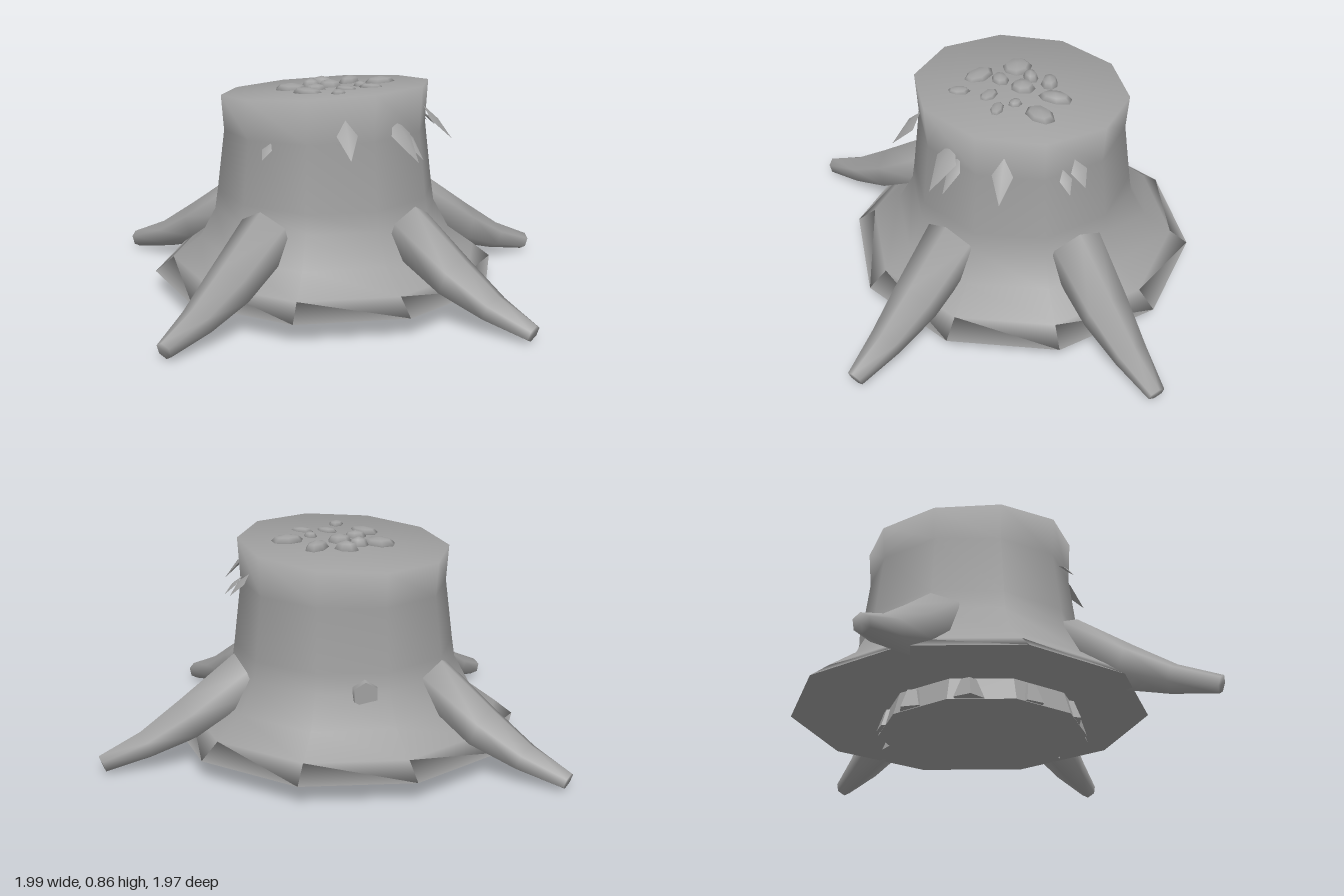
import * as THREE from 'three';
import { mergeVertices } from 'three/addons/utils/BufferGeometryUtils.js';

const bark = new THREE.MeshStandardMaterial({ color: 0xa0a0a0, side: THREE.DoubleSide });
bark.name = 'greyBark';

const add = (parent, name, geometry) => {
  const mesh = new THREE.Mesh(geometry, bark);
  mesh.name = name;
  parent.add(mesh);
  return mesh;
};

// Weld all corners and average the normals
const smooth = (g) => {
  g.deleteAttribute('normal');
  g.deleteAttribute('uv');
  const m = mergeVertices(g, 1e-4);
  m.computeVertexNormals();
  return m;
};

// Move every vertex by a rule
const deform = (g, rule) => {
  const p = g.attributes.position, v = new THREE.Vector3();
  for (let i = 0; i < p.count; i++) {
    v.fromBufferAttribute(p, i);
    rule(v);
    p.setXYZ(i, v.x, v.y, v.z);
  }
  return g;
};

const CX = -0.03, CZ = -0.015;
const topY = (x) => 0.827 + 0.0875 * (x - CX);

// Ten-sided trunk with a flared skirt and a slanted cut
function trunk() {
  const profile = [[0, 0.1], [0.4, 0.09], [0.705, 0.08], [0.63, 0.14], [0.52, 0.22],
    [0.455, 0.34], [0.443, 0.42], [0.412, 0.67], [0.422, 0.827], [0, 0.827]];
  const g = new THREE.LatheGeometry(profile.map(([r, y]) => new THREE.Vector2(r, y)), 10);
  return deform(g, (v) => {
    if (v.y > 0.8) v.y += 0.0875 * v.x;
    else if (v.y > 0.6) v.y += 0.03 * v.x;
    v.x += CX;
    v.z += CZ;
  });
}

// Tapered root running from the trunk down to the ground
function root([bx, bz], [tx, tz]) {
  const dx = tx - bx, dz = tz - bz, len = Math.hypot(dx, dz);
  const ux = dx / len, uz = dz / len;
  // distance along, height, half width, half height
  const rings = [[0, 0.315, 0.12, 0.1], [0.4, 0.17, 0.1, 0.085],
    [0.7, 0.09, 0.07, 0.055], [1, 0.037, 0.034, 0.034]];
  const g = new THREE.CylinderGeometry(1, 1, 3, 6, 3);
  deform(g, (v) => {
    const [t, h, w, k] = rings[Math.round(v.y + 1.5)];
    const side = v.x * w, up = v.z * k;
    const along = t * len + up * 0.35;
    v.set(bx + ux * along - uz * side, h + up, bz + uz * along + ux * side);
  });
  // the ring order turns the winding inside out, so swap it back
  const id = g.index.array;
  const a = new THREE.Vector3(), b = new THREE.Vector3(), c = new THREE.Vector3();
  const p = g.attributes.position;
  a.fromBufferAttribute(p, id[0]);
  b.fromBufferAttribute(p, id[1]).sub(a);
  c.fromBufferAttribute(p, id[2]).sub(a);
  const n = b.cross(c);
  const mid = new THREE.Vector3(bx, 0.315, bz);
  if (n.dot(a.sub(mid)) < 0) {
    for (let i = 0; i < id.length; i += 3) [id[i + 1], id[i + 2]] = [id[i + 2], id[i + 1]];
  }
  return smooth(g);
}

// Folded leaf hanging from the bark, tip down and outward
function leaf(length, width) {
  const g = new THREE.BufferGeometry();
  const out = length * 0.75;
  g.setAttribute('position', new THREE.Float32BufferAttribute([
    0, 0, -0.02,
    -width / 2, -length * 0.4, out * 0.2,
    0, -length * 0.4, out * 0.42,
    width / 2, -length * 0.4, out * 0.2,
    0, -length, out], 3));
  g.setIndex([0, 1, 2, 1, 4, 2, 0, 2, 3, 2, 4, 3]);
  g.computeVertexNormals();
  return g;
}

export function createModel() {
  const model = new THREE.Group();
  model.name = 'treeStump';
  add(model, 'trunk', trunk());

  // Four roots
  const roots = new THREE.Group();
  roots.name = 'roots';
  model.add(roots);
  [[[0.4, -0.04], [0.98, -0.085]], [[0.07, 0.4], [0.17, 0.97]],
    [[-0.41, 0.11], [-0.98, 0.27]], [[0.11, -0.42], [0.28, -0.97]]]
    .forEach(([b, t]) => add(roots, 'root', root(b, t)));

  // Earth plug under the trunk, with chips around its rim
  const plug = add(model, 'earthPlug', new THREE.CylinderGeometry(0.38, 0.41, 0.1, 10).toNonIndexed());
  plug.geometry.computeVertexNormals();
  plug.position.set(0.01, 0.05, 0.02);
  for (let i = 0; i < 10; i++) {
    const a = (i + 0.3) * Math.PI / 5, r = 0.36 + 0.012 * (i % 3);
    const g = new THREE.CylinderGeometry(0.03, 0.06, 0.075, 5).toNonIndexed();
    g.computeVertexNormals();
    const chip = add(model, 'earthChip', g);
    chip.position.set(0.01 + r * Math.sin(a), 0.04, 0.02 + r * Math.cos(a));
    chip.rotation.y = i;
  }

  // Leaves: position x, y, z, length, width
  [[0.32, 0.77, 0.22, 0.13, 0.08], [0.36, 0.76, -0.01, 0.16, 0.1],
    [0.37, 0.72, -0.05, 0.12, 0.06], [0.32, 0.77, -0.24, 0.13, 0.08],
    [0.1, 0.73, -0.41, 0.08, 0.07], [0.16, 0.71, -0.4, 0.07, 0.05],
    [0.07, 0.67, 0.385, 0.055, 0.045]].forEach(([x, y, z, l, w]) => {
    const m = add(model, 'leaf', leaf(l, w));
    m.position.set(x, y, z);
    m.rotation.y = Math.atan2(x - CX, z - CZ);
  });

  // Small knot on the back left of the bark
  const knot = add(model, 'knot', new THREE.CylinderGeometry(0.05, 0.06, 0.06, 6));
  knot.position.set(-0.395, 0.34, -0.225);
  knot.rotation.set(Math.PI / 2, Math.atan2(-0.41, -0.24), 0, 'YXZ');

  // Debris on the cut: x, z, half length, half width, turn, height
  [[-0.02, -0.03, 0.05, 0.05, 0, 0.03], [-0.12, 0.09, 0.07, 0.06, 0.3, 0.025],
    [0.085, -0.21, 0.07, 0.05, 1.4, 0.025], [-0.05, -0.17, 0.07, 0.04, 2.0, 0.03],
    [-0.12, -0.08, 0.05, 0.035, 0.6, 0.035], [0.04, 0.15, 0.075, 0.045, 0, 0.02],
    [0.18, 0.12, 0.045, 0.03, -0.8, 0.015], [0.17, -0.07, 0.05, 0.025, 0.5, 0.015],
    [0.09, -0.09, 0.03, 0.025, 0, 0.02], [0.12, 0.02, 0.05, 0.03, 0.2, 0.015],
    [0.0, 0.07, 0.045, 0.035, 1, 0.025], [-0.1, 0.0, 0.04, 0.03, 1, 0.035]]
    .forEach(([x, z, l, w, turn, h]) => {
      const m = add(model, 'debris', new THREE.SphereGeometry(1, 7, 4));
      m.scale.set(l, h, w);
      m.rotation.y = turn;
      m.position.set(x, topY(x), z);
    });

  return model;
}
